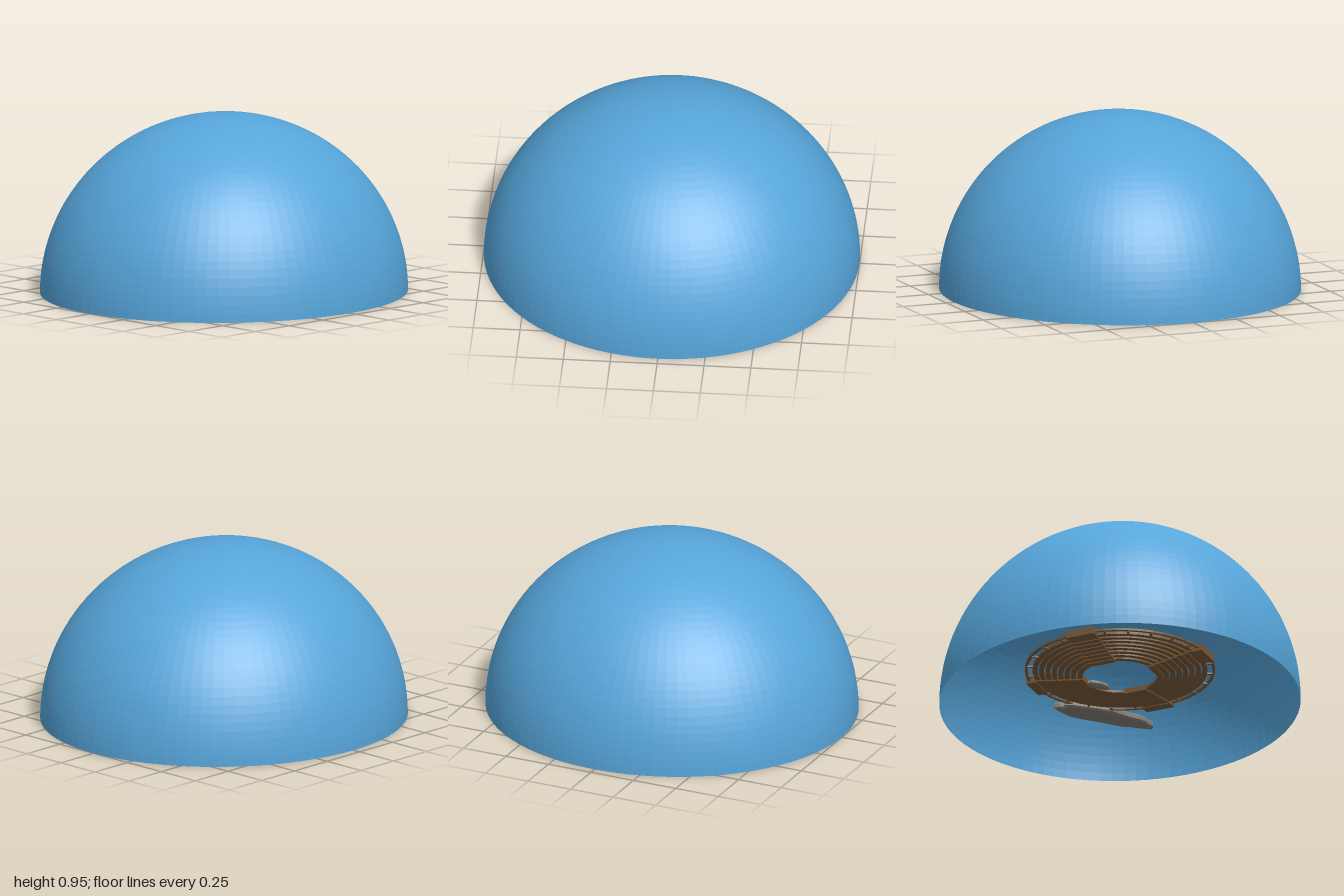
import * as THREE from 'three';

const mat = (color, extra = {}) => new THREE.MeshStandardMaterial({ color, ...extra });
const wood = mat(0x7a5a3a, { flatShading: true });
const stone = mat(0x85807a, { flatShading: true });
const sky = mat(0x56a5da, { flatShading: true, side: THREE.DoubleSide });

const TIERS = 8, INNER = 0.2, STEP = 0.034;
const tierY = (i) => 0.148 + i * 0.005;

function add(parent, name, geometry, material, x = 0, y = 0, z = 0) {
  const mesh = new THREE.Mesh(geometry, material);
  mesh.name = name;
  mesh.position.set(x, y, z);
  parent.add(mesh);
  return mesh;
}

// Flat ring with a rectangular section, its underside at y = 0
function ringGeometry(r0, r1, height) {
  const section = [[r0, 0], [r1, 0], [r1, height], [r0, height], [r0, 0]];
  return new THREE.LatheGeometry(section.map(([r, y]) => new THREE.Vector2(r, y)), 48);
}

// Irregular flat rock with a wavy outline
function rockGeometry(length, width, height) {
  const outline = [];
  for (let i = 0; i < 24; i++) {
    const a = (i / 24) * Math.PI * 2;
    const k = 1 + 0.08 * Math.sin(3 * a + 1) + 0.06 * Math.sin(7 * a);
    outline.push(new THREE.Vector2(Math.cos(a) * length * k / 2, Math.sin(a) * width * k / 2));
  }
  const g = new THREE.ExtrudeGeometry(new THREE.Shape(outline), {
    depth: height, bevelEnabled: true, bevelSize: 0.008, bevelThickness: 0.01, bevelSegments: 1,
  });
  return g.rotateX(-Math.PI / 2);
}

export function createModel() {
  const model = new THREE.Group();

  // Sky dome, slightly longer front to back
  const dome = add(model, 'skyDome',
    new THREE.SphereGeometry(1, 96, 32, 0, Math.PI * 2, 0, Math.PI / 2), sky);
  dome.scale.set(0.955, 0.955, 1);

  // Round seating inside the dome
  const arena = new THREE.Group();
  arena.name = 'arena';
  model.add(arena);
  for (let i = 0; i < TIERS; i++) {
    const r = INNER + i * STEP;
    add(arena, 'seatRing', ringGeometry(r, r + 0.027, 0.014), wood, 0, tierY(i), 0);
  }

  // Outer railing on short posts
  add(arena, 'outerRail', ringGeometry(0.492, 0.506, 0.012), wood, 0, 0.186, 0);
  for (let i = 0; i < 24; i++) {
    const a = (i / 24) * Math.PI * 2;
    const post = add(arena, 'railPost', new THREE.BoxGeometry(0.04, 0.01, 0.01), wood,
      Math.cos(a) * 0.48, 0.187, Math.sin(a) * 0.48);
    post.rotation.y = -a;
  }

  // Four stairways on the diagonals
  for (let k = 0; k < 4; k++) {
    const stair = new THREE.Group();
    stair.name = 'stairway';
    stair.rotation.y = Math.PI / 4 + k * Math.PI / 2;
    arena.add(stair);
    for (let i = 0; i < TIERS; i++) {
      add(stair, 'stairStep', new THREE.BoxGeometry(0.036, 0.03, 0.13 + i * 0.003), wood,
        INNER + i * STEP + 0.008, tierY(i) + 0.008, 0);
    }
    add(stair, 'stairLanding', new THREE.BoxGeometry(0.055, 0.04, 0.16), wood, 0.485, 0.192, 0);
  }

  // Rocks behind the seating and in the ring
  const rock = add(model, 'backRock', rockGeometry(0.54, 0.13, 0.02), stone, 0.11, 0.18, -0.56);
  rock.rotation.y = 0.1;
  const small = add(model, 'innerRock', rockGeometry(0.12, 0.04, 0.008), stone, -0.07, 0.15, -0.15);
  small.rotation.y = 0.15;

  return model;
}
